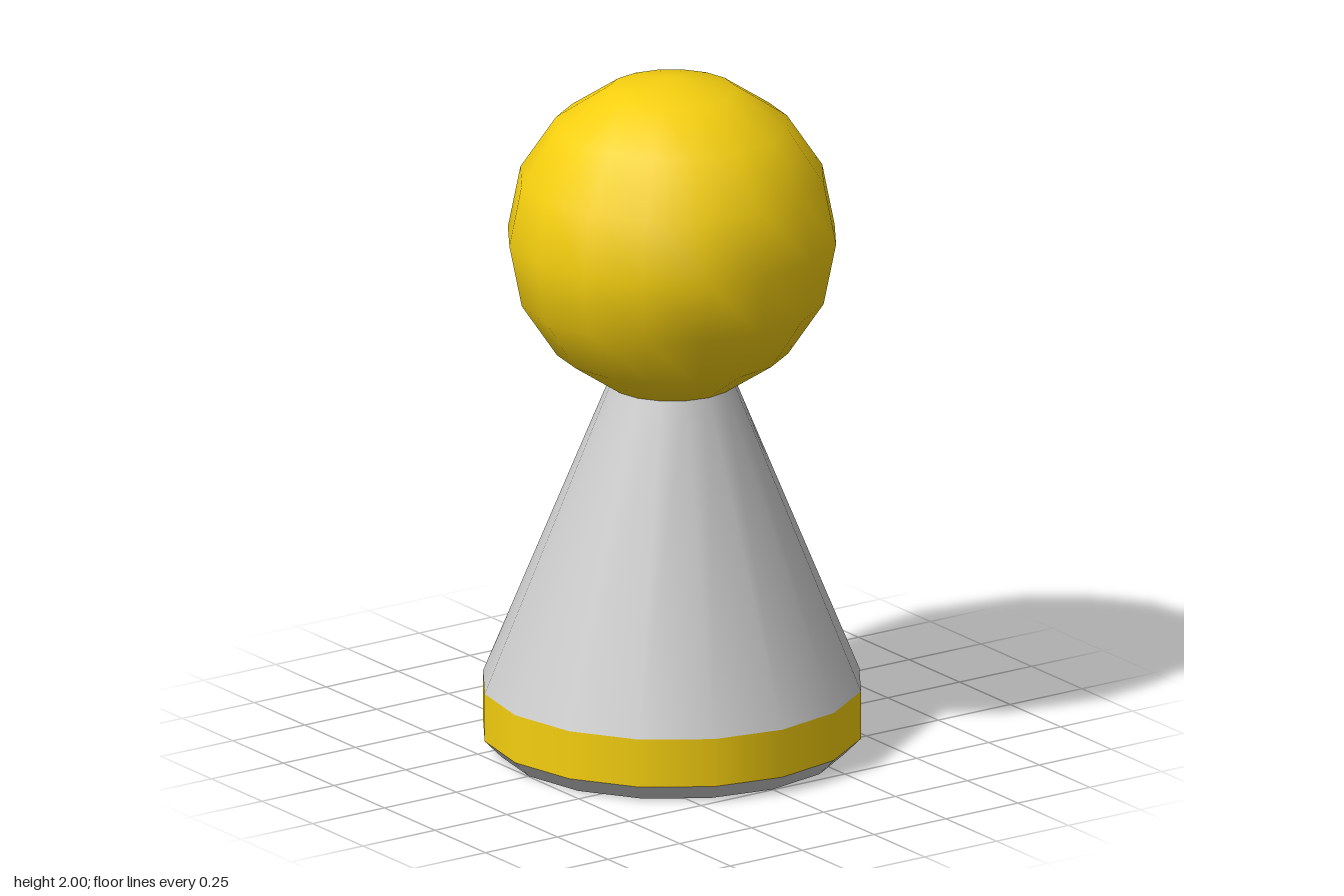
import * as THREE from 'three';

const SIDES = 16;

export function createModel() {
  const model = new THREE.Group();
  const grey = new THREE.MeshStandardMaterial({ color: 0xcccccc });
  const yellow = new THREE.MeshStandardMaterial({ color: 0xf5cf0f });

  function add(name, geometry, material, y) {
    const mesh = new THREE.Mesh(geometry, material);
    mesh.name = name;
    mesh.position.y = y;
    model.add(mesh);
  }

  // Tapered ring between two heights, open at both ends
  function ring(name, rBottom, rTop, y0, y1, material) {
    const geometry = new THREE.CylinderGeometry(rTop, rBottom, y1 - y0, SIDES, 1, true);
    add(name, geometry, material, (y0 + y1) / 2);
  }

  // Underside disc, turned so its corners meet the bevel
  const disc = new THREE.CircleGeometry(0.497, SIDES).rotateX(Math.PI / 2);
  add('underside', disc, grey, 0);

  // Base bevel, coloured band and conical body
  ring('baseBevel', 0.497, 0.546, 0, 0.05, grey);
  ring('baseBand', 0.546, 0.546, 0.05, 0.192, yellow);
  ring('body', 0.546, 0.181, 0.192, 1.088, grey);

  // Round head resting in the top of the body
  add('head', new THREE.SphereGeometry(0.474, SIDES, 8), yellow, 1.526);

  return model;
}
